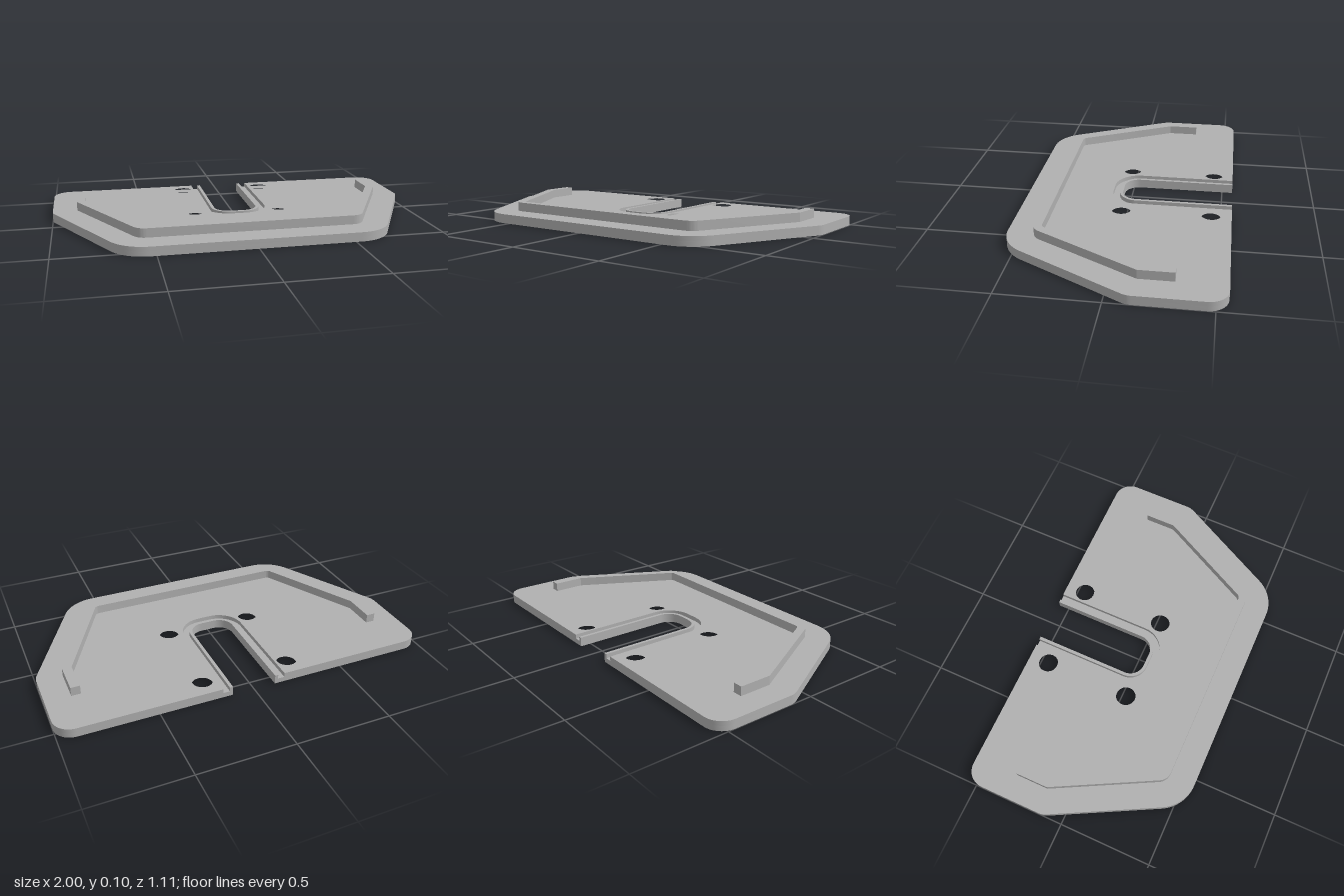
import * as THREE from 'three';
import { toCreasedNormals } from 'three/addons/utils/BufferGeometryUtils.js';

const PLATE_H = 0.049, GROOVE_Y = 0.026, RAIL_H = 0.097;

// Closed shape from [x, z, cornerRadius] points of the +x half, mirrored to -x
function mirroredShape(half) {
  const pts = [...half, ...half.map(([x, z, r]) => [-x, z, r]).reverse()];
  const n = pts.length, out = [];
  pts.forEach(([x, z, r], i) => {
    const p = new THREE.Vector2(x, -z);
    if (!r) { out.push(p); return; }
    const dir = ([qx, qz]) => new THREE.Vector2(qx, -qz).sub(p).normalize();
    const a = dir(pts[(i + n - 1) % n]), b = dir(pts[(i + 1) % n]);
    const half = Math.acos(a.dot(b)) / 2;
    const centre = a.clone().add(b).normalize().multiplyScalar(r / Math.sin(half)).add(p);
    const start = a.multiplyScalar(r / Math.tan(half)).add(p).sub(centre);
    const end = b.multiplyScalar(r / Math.tan(half)).add(p).sub(centre);
    const sweep = Math.atan2(start.cross(end), start.dot(end));
    for (let k = 0; k <= 12; k++) {
      out.push(start.clone().rotateAround(new THREE.Vector2(), sweep * k / 12).add(centre));
    }
  });
  return new THREE.Shape(out);
}

// Plate outline with a U slot open to the back
const plateShape = (slotX, slotZ, slotR) => {
  const shape = mirroredShape([
    [slotX, slotZ, slotR], [slotX, -0.557, 0], [1, -0.557, 0.095],
    [1, -0.105, 0.1], [0.655, 0.557, 0.206],
  ]);
  for (const x of [-0.237, 0.237]) for (const z of [-0.45, 0.025]) {
    shape.holes.push(new THREE.Path().absarc(x, -z, 0.054, 0, Math.PI * 2, true));
  }
  return shape;
};

export function createModel() {
  const model = new THREE.Group();
  model.name = 'slottedPlate';
  const grey = new THREE.MeshStandardMaterial({ color: 0xb0b0b0 });
  grey.name = 'grey';

  const add = (name, shape, y0, y1) => {
    const geo = new THREE.ExtrudeGeometry(shape, { depth: y1 - y0, bevelEnabled: false, curveSegments: 24 });
    geo.rotateX(-Math.PI / 2).translate(0, y0, 0);
    const mesh = new THREE.Mesh(toCreasedNormals(geo, 0.4), grey);
    mesh.name = name;
    model.add(mesh);
  };

  // Lower layer reaches the slot edge; upper layer stops at the groove
  add('plateBase', plateShape(0.117, 0.043, 0.08), 0, GROOVE_Y);
  add('plateTop', plateShape(0.17, 0.097, 0.134), GROOVE_Y, PLATE_H);

  // Thin lip between the slot and the groove
  add('slotLip', mirroredShape([
    [0.117, 0.043, 0.08], [0.117, -0.557, 0], [0.134, -0.557, 0], [0.134, 0.06, 0.098],
  ]), GROOVE_Y, PLATE_H);

  // Raised rail following the front and slanted sides
  add('raisedRail', mirroredShape([
    [0.55, 0.378, 0.03], [0.82, -0.145, 0], [0.82, -0.313, 0],
    [0.868, -0.313, 0], [0.868, -0.138, 0], [0.577, 0.42, 0.07],
  ]), PLATE_H, RAIL_H);

  return model;
}
